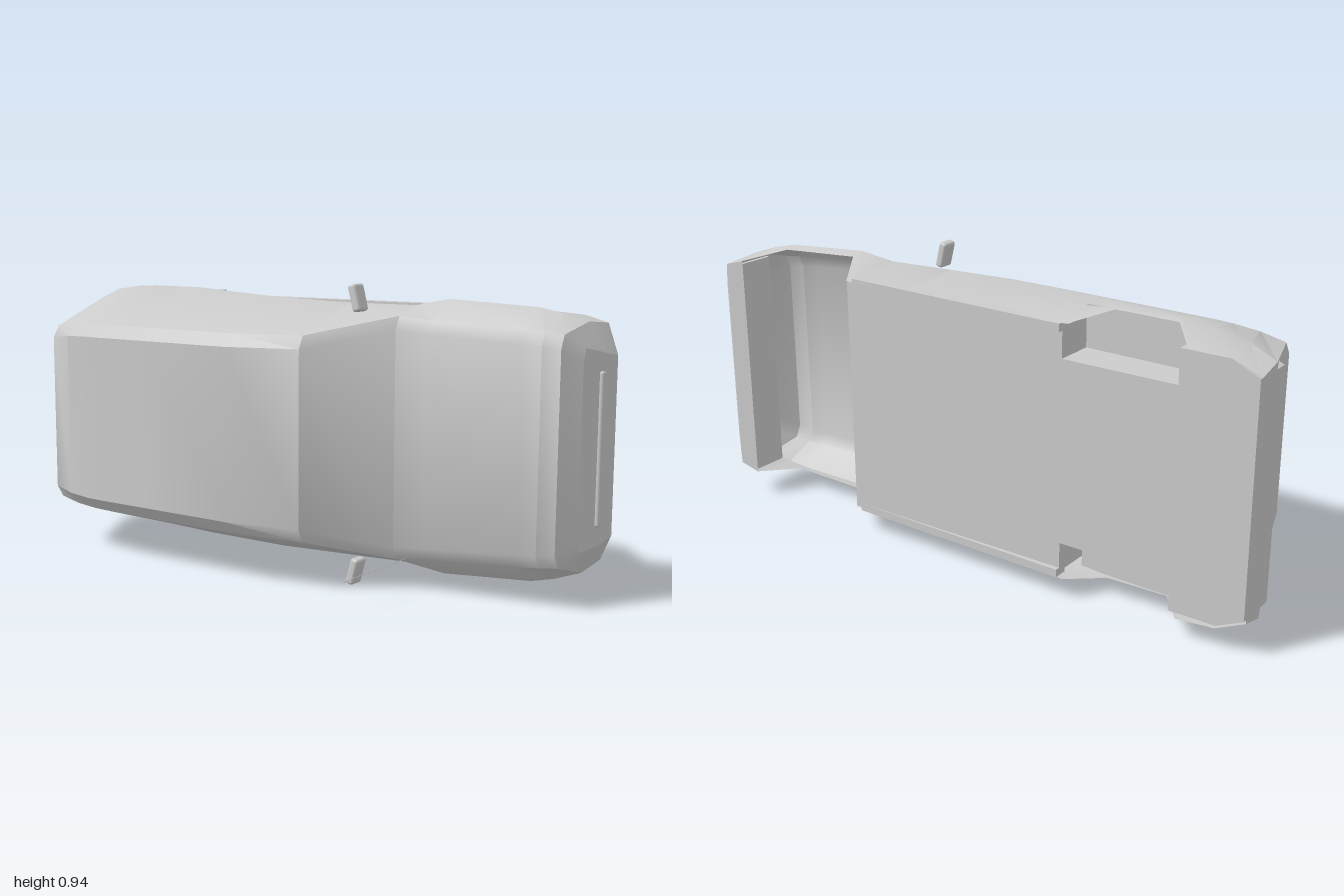
import * as THREE from 'three';
import { toCreasedNormals } from 'three/addons/utils/BufferGeometryUtils.js';
import { RoundedBoxGeometry } from 'three/addons/geometries/RoundedBoxGeometry.js';

const material = new THREE.MeshStandardMaterial({ color: 0xcccccc, side: THREE.DoubleSide });

// The car lies on its side: nose to +x, roof to +z, width along y.
// Cross-sections: x at waist, x at top, lower edge z and half-width,
// waist z and half-width, roof edge z and half-width, crown z.
const sections = [
  [-0.99, -0.84, -0.28, 0.36, -0.20, 0.38, 0.185, 0.30, 0.21],
  [-0.90, -0.75, -0.29, 0.40, -0.18, 0.41, 0.20, 0.312, 0.232],
  [-0.78, -0.65, -0.30, 0.405, -0.16, 0.425, 0.215, 0.315, 0.247],
  [-0.68, -0.58, -0.17, 0.425, -0.145, 0.43, 0.22, 0.315, 0.25],
  [-0.48, -0.45, -0.18, 0.425, -0.13, 0.43, 0.22, 0.315, 0.25],
  [-0.40, -0.38, -0.305, 0.40, -0.11, 0.427, 0.22, 0.315, 0.25],
  [-0.05, -0.05, -0.31, 0.39, -0.06, 0.412, 0.22, 0.315, 0.25],
  [0.20, 0.20, -0.31, 0.388, -0.06, 0.402, 0.18, 0.318, 0.20],
  [0.42, 0.42, -0.312, 0.388, -0.09, 0.402, -0.01, 0.375, 0.01],
  [0.53, 0.53, -0.16, 0.415, -0.115, 0.425, -0.025, 0.365, -0.005],
  [0.81, 0.81, -0.18, 0.40, -0.145, 0.41, -0.06, 0.35, -0.04],
  [0.88, 0.87, -0.32, 0.38, -0.16, 0.395, -0.07, 0.345, -0.05],
  [0.95, 0.925, -0.325, 0.36, -0.19, 0.372, -0.08, 0.34, -0.06],
  [1.0, 0.965, -0.285, 0.27, -0.22, 0.28, -0.14, 0.30, -0.125],
];

// One full ring, from the +y lower edge over the top to the -y lower edge
function ring([x, xt, zb, wb, zw, ww, ze, we, zt]) {
  const half = [[x, wb, zb], [x, ww, zw], [xt, we, ze], [xt, we - 0.04, zt]];
  return [...half, ...half.slice().reverse().map(([a, b, c]) => [a, -b, c])];
}
const rings = sections.map(ring);

function facets(quads, crease) {
  const pos = [];
  for (const [a, b, c, d] of quads) pos.push(...a, ...b, ...c, ...a, ...c, ...d);
  const geo = new THREE.BufferGeometry();
  geo.setAttribute('position', new THREE.Float32BufferAttribute(pos, 3));
  return toCreasedNormals(geo, crease);
}

function loft(from, to) {
  const quads = [];
  for (let i = from; i < to; i++)
    for (let j = 0; j < 7; j++)
      quads.push([rings[i][j], rings[i][j + 1], rings[i + 1][j + 1], rings[i + 1][j]]);
  return facets(quads, 0.55);
}

function endCap(r) {
  const quads = [];
  for (let j = 0; j < 3; j++) quads.push([r[j], r[j + 1], r[6 - j], r[7 - j]]);
  return facets(quads, 0.3);
}

export function createModel() {
  const group = new THREE.Group();
  group.position.y = 0.47;
  const add = (name, geometry, x = 0, y = 0, z = 0) => {
    const mesh = new THREE.Mesh(geometry, material);
    mesh.name = name;
    mesh.position.set(x, y, z);
    group.add(mesh);
    return mesh;
  };

  // Outer shell, open underneath at the engine bay
  add('cabinShell', loft(0, 7));
  add('windscreen', loft(7, 8));
  add('hoodAndFenders', loft(8, 11));
  add('nose', loft(11, 13));
  add('tailgate', endCap(rings[0].slice().reverse()));
  add('frontFace', endCap(rings[13]));

  // Floor pan with notches for the rear wheels
  const outline = [
    [0.42, 0.385], [-0.38, 0.385], [-0.38, 0.29], [-0.75, 0.29],
    [-0.75, 0.395], [-0.90, 0.395], [-0.985, 0.355],
  ];
  const floorShape = new THREE.Shape([
    ...outline.map(([x, y]) => new THREE.Vector2(x, y)),
    ...outline.slice().reverse().map(([x, y]) => new THREE.Vector2(x, -y)),
  ]);
  const floor = new THREE.ExtrudeGeometry(floorShape, { depth: 0.14, bevelEnabled: false });
  // The pan rises slightly towards the tail
  const p = floor.attributes.position;
  for (let i = 0; i < p.count; i++) p.setZ(i, p.getZ(i) - 0.302 + 0.02 * -p.getX(i));
  floor.computeVertexNormals();
  add('floorPan', floor);

  // Wall behind the engine bay
  add('firewall', new THREE.BoxGeometry(0.02, 0.74, 0.28), 0.41, 0, -0.165);

  // Underside of the front bumper
  add('bumperUnderside', facets([
    [rings[11][0], rings[12][0], rings[12][7], rings[11][7]],
    [rings[12][0], rings[13][0], rings[13][7], rings[12][7]],
  ].map(q => q.slice().reverse()), 0.3));
  add('bumperBack', new THREE.BoxGeometry(0.012, 0.74, 0.12), 0.885, 0, -0.26);
  add('bumperBar', new RoundedBoxGeometry(0.03, 0.46, 0.03, 2, 0.008), 0.983, 0, -0.205);

  for (const side of [1, -1]) {
    // Rear wheel well ceiling
    add('rearWheelWellTop', new THREE.BoxGeometry(0.37, 0.135, 0.01), -0.565, side * 0.355, -0.165);

    // Sill under the doors
    add('sill', new THREE.BoxGeometry(0.78, 0.025, 0.045), 0.01, side * 0.385, -0.288);

    // Door mirror, swept back
    const mirror = add('mirror', new RoundedBoxGeometry(0.028, 0.085, 0.055, 2, 0.009), 0.288, side * 0.426, 0.016);
    mirror.rotation.z = side * 0.25;
  }

  // Antenna on the right fender
  add('antenna', new THREE.CylinderGeometry(0.0012, 0.0012, 0.335, 6).rotateX(Math.PI / 2), 0.45, -0.37, 0.158);

  const model = new THREE.Group();
  model.name = 'carBody';
  model.add(group);
  return model;
}
